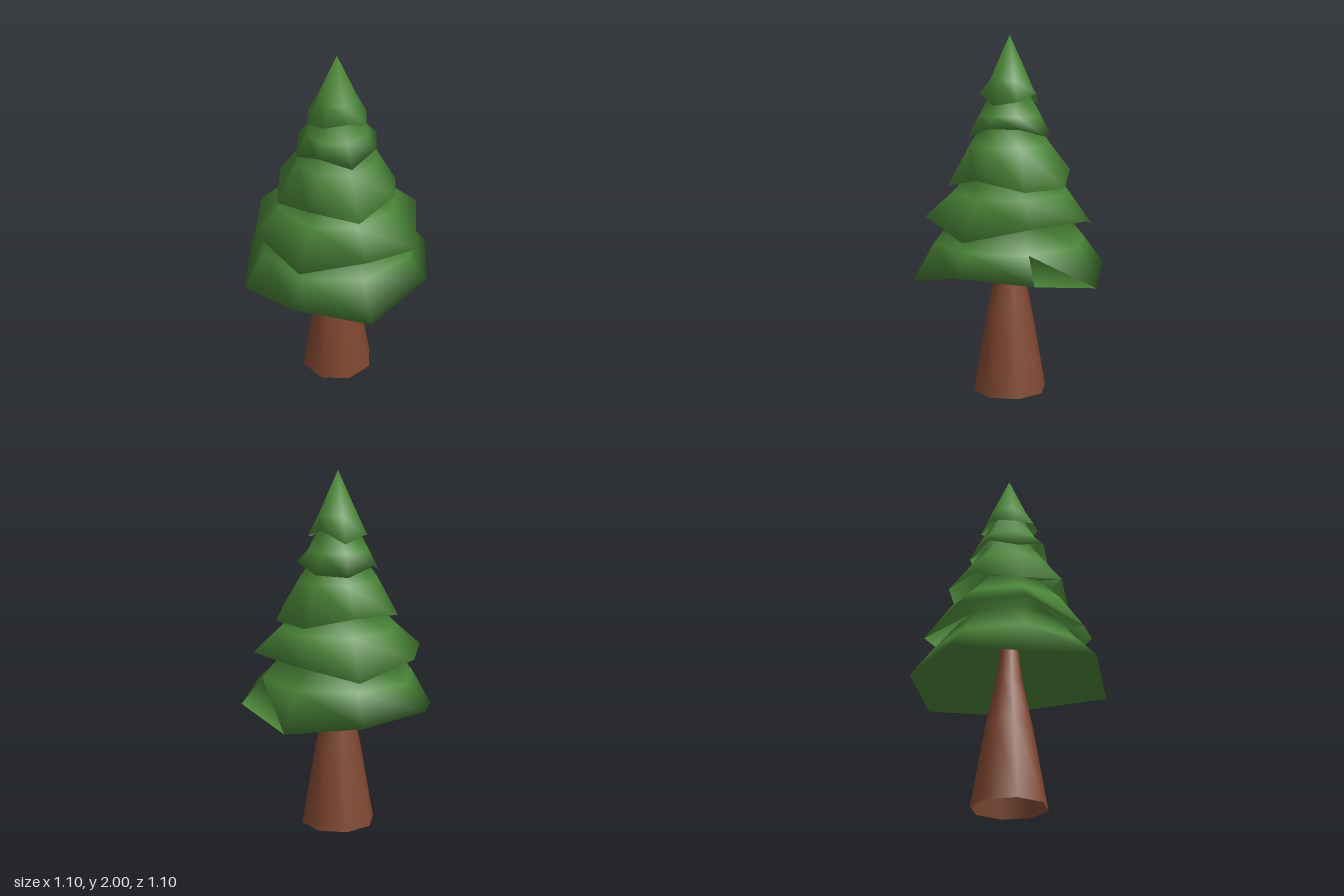
import * as THREE from 'three';
import { mergeVertices } from 'three/addons/utils/BufferGeometryUtils.js';

const SIDES = 8;

// Smooth eight-sided surface from rings listed along its profile. A ring is
// { r, y }; y may be a list with one height per corner, from +z towards +x.
function ringSurface(rings) {
  const lathe = new THREE.LatheGeometry(rings.map(({ r }) => new THREE.Vector2(r, 0)), SIDES);
  const position = lathe.attributes.position;
  for (let i = 0; i <= SIDES; i++) {
    rings.forEach(({ y }, j) => {
      position.setY(i * rings.length + j, Array.isArray(y) ? y[i % SIDES] : y);
    });
  }
  lathe.deleteAttribute('uv');
  lathe.deleteAttribute('normal');
  const geometry = mergeVertices(lathe, 1e-4);
  geometry.computeVertexNormals();
  return geometry;
}

export function createModel() {
  const group = new THREE.Group();
  group.name = 'pineTree';

  const needles = new THREE.MeshStandardMaterial({ color: 0x4a8538, side: THREE.DoubleSide });
  needles.name = 'needleGreen';
  const bark = new THREE.MeshStandardMaterial({ color: 0x7e4630, side: THREE.DoubleSide });
  bark.name = 'barkBrown';

  // Tapering trunk, open at the foot and running up inside the foliage
  const trunk = new THREE.Mesh(ringSurface([
    { r: 0.21, y: 0 },
    { r: 0.13, y: 0.46 },
    { r: 0.075, y: 0.72 },
    { r: 0.043, y: 0.96 },
    { r: 0.03, y: 1.05 },
  ]), bark);
  trunk.name = 'trunk';
  group.add(trunk);

  // Foliage: one zigzag skin of five skirts with ragged rims
  const foliage = new THREE.Mesh(ringSurface([
    // hollow underside
    { r: 0.03, y: 0.98 },
    { r: 0.3, y: 0.85 },
    // each skirt: rim, bulge, then the neck below the next skirt
    { r: 0.548, y: [0.66, 0.76, 0.73, 0.66, 0.71, 0.73, 0.66, 0.745] },
    { r: 0.43, y: 0.87 },
    { r: 0.29, y: 1.04 },
    { r: 0.477, y: [1.02, 0.935, 1.02, 1.02, 0.935, 1.01, 1.015, 0.935] },
    { r: 0.33, y: 1.145 },
    { r: 0.2, y: 1.28 },
    { r: 0.347, y: [1.185, 1.25, 1.19, 1.19, 1.25, 1.24, 1.185, 1.25] },
    { r: 0.225, y: 1.41 },
    { r: 0.135, y: 1.54 },
    { r: 0.23, y: [1.45, 1.51, 1.51, 1.46, 1.45, 1.5, 1.45, 1.51] },
    { r: 0.172, y: 1.57 },
    { r: 0.1, y: 1.7 },
    { r: 0.168, y: [1.685, 1.63, 1.65, 1.69, 1.62, 1.66, 1.64, 1.66] },
    { r: 0.11, y: 1.76 },
    { r: 0, y: 2 },
  ]), needles);
  foliage.name = 'foliage';
  group.add(foliage);

  return group;
}
